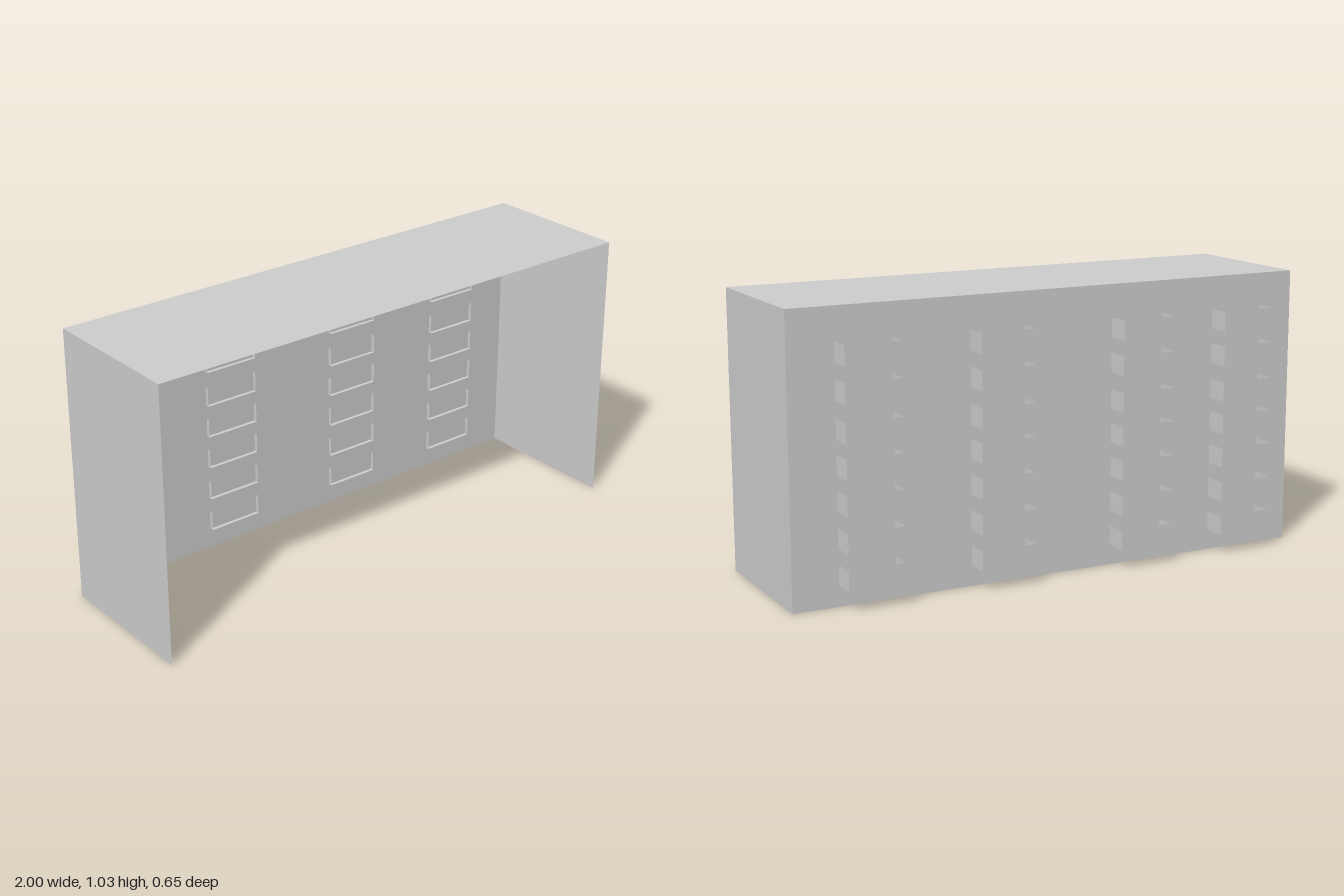
import * as THREE from 'three';

const W = 2, H = 1.03, FRONT = 0.327, BACK = -0.24;
const material = new THREE.MeshStandardMaterial({ color: 0xcccccc, flatShading: true, side: THREE.DoubleSide });

// Thin sheet of w x h, turned about x and y, then placed
function sheet(name, w, h, x, y, z, rx = 0, ry = 0) {
  const mesh = new THREE.Mesh(new THREE.PlaneGeometry(w, h), material);
  mesh.name = name;
  mesh.position.set(x, y, z);
  mesh.rotation.set(rx, ry, 0);
  return mesh;
}

// Open-topped scoop whose edges pass slightly through the back panel
function createScoop(x, y) {
  const w = 0.21, h = 0.072, outer = -0.327, inner = BACK + 0.014;
  const d = inner - outer, z = (inner + outer) / 2;
  const scoop = new THREE.Group();
  scoop.name = 'scoop';
  scoop.add(
    sheet('scoopFace', w, h, 0, h / 2, outer, 0, Math.PI),
    sheet('scoopFloor', w, d, 0, 0, z, Math.PI / 2),
  );
  for (const s of [-1, 1]) {
    scoop.add(sheet('scoopSide', d, h, s * w / 2, h / 2, z, 0, s * Math.PI / 2));
  }
  scoop.position.set(x, y, 0);
  return scoop;
}

export function createModel() {
  const model = new THREE.Group();
  model.name = 'ventedCover';

  // Shell, open at the front and underneath
  const depth = FRONT - BACK, midZ = (FRONT + BACK) / 2;
  model.add(
    sheet('backPanel', W, H, 0, H / 2, BACK, 0, Math.PI),
    sheet('topPanel', W, depth, 0, H, midZ, -Math.PI / 2),
    sheet('leftPanel', depth, H, W / 2, H / 2, midZ, 0, Math.PI / 2),
    sheet('rightPanel', depth, H, -W / 2, H / 2, midZ, 0, -Math.PI / 2),
  );

  // Four columns of seven scoops on the back
  for (const x of [-0.76, -0.335, 0.225, 0.725]) {
    for (const y of [0.075, 0.204, 0.332, 0.457, 0.58, 0.712, 0.839]) {
      model.add(createScoop(x, y));
    }
  }
  return model;
}
